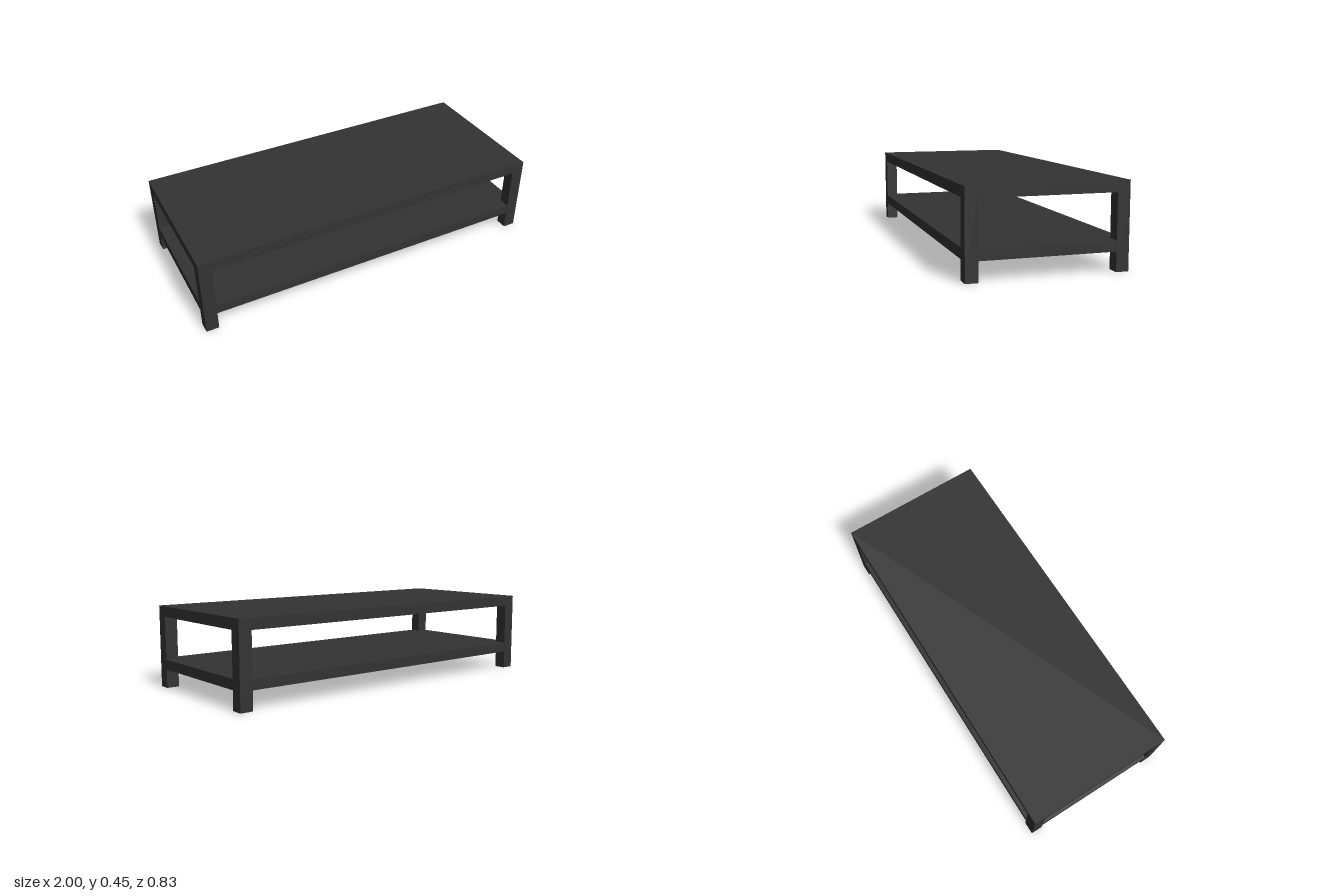
import * as THREE from 'three';

const W = 1, D = 0.415;            // half width and half depth
const LX = 0.07, LZ = 0.066;       // leg section
const TOP = 0.45, TOP_LOW = 0.392; // table top edge
const SHELF = 0.157, SHELF_LOW = 0.102;

export function createModel() {
  const charcoal = new THREE.MeshStandardMaterial({ color: 0x333333, side: THREE.DoubleSide });
  const table = new THREE.Group();
  table.name = 'coffeeTable';

  const add = (name, geometry, x, y, z) => {
    const mesh = new THREE.Mesh(geometry, charcoal);
    mesh.name = name;
    mesh.position.set(x, y, z);
    table.add(mesh);
    return mesh;
  };

  // Sheet top
  add('tableTop', new THREE.PlaneGeometry(2 * W, 2 * D).rotateX(-Math.PI / 2), 0, TOP, 0);

  // Shelf sheet, notched around the legs
  const ix = W - LX, iz = D - LZ;
  const outline = [[ix, D], [ix, iz], [W, iz], [W, -iz], [ix, -iz], [ix, -D],
    [-ix, -D], [-ix, -iz], [-W, -iz], [-W, iz], [-ix, iz], [-ix, D]];
  const shape = new THREE.Shape(outline.map(([x, z]) => new THREE.Vector2(x, z)));
  add('shelf', new THREE.ShapeGeometry(shape).rotateX(-Math.PI / 2), 0, SHELF, 0);

  // Hollow square legs: side walls only
  for (const sx of [1, -1]) for (const sz of [1, -1]) {
    const leg = new THREE.BoxGeometry(LX, TOP, LZ);
    const index = Array.from(leg.index.array);
    leg.setIndex([...index.slice(0, 12), ...index.slice(24)]);
    leg.clearGroups();
    add((sz > 0 ? 'front' : 'back') + (sx > 0 ? 'Left' : 'Right') + 'Leg',
      leg, sx * (W - LX / 2), TOP / 2, sz * (D - LZ / 2));
  }

  // Thin edge rails between the legs, open underneath
  for (const [part, low, high] of [['top', TOP_LOW, TOP], ['shelf', SHELF_LOW, SHELF]]) {
    const y = (low + high) / 2, h = high - low;
    for (const s of [1, -1]) {
      const turn = s > 0 ? 0 : Math.PI;
      add(part + (s > 0 ? 'FrontRail' : 'BackRail'),
        new THREE.PlaneGeometry(2 * ix, h).rotateY(turn), 0, y, s * D);
      add(part + (s > 0 ? 'LeftRail' : 'RightRail'),
        new THREE.PlaneGeometry(2 * iz, h).rotateY(turn + Math.PI / 2), s * W, y, 0);
    }
  }
  return table;
}
